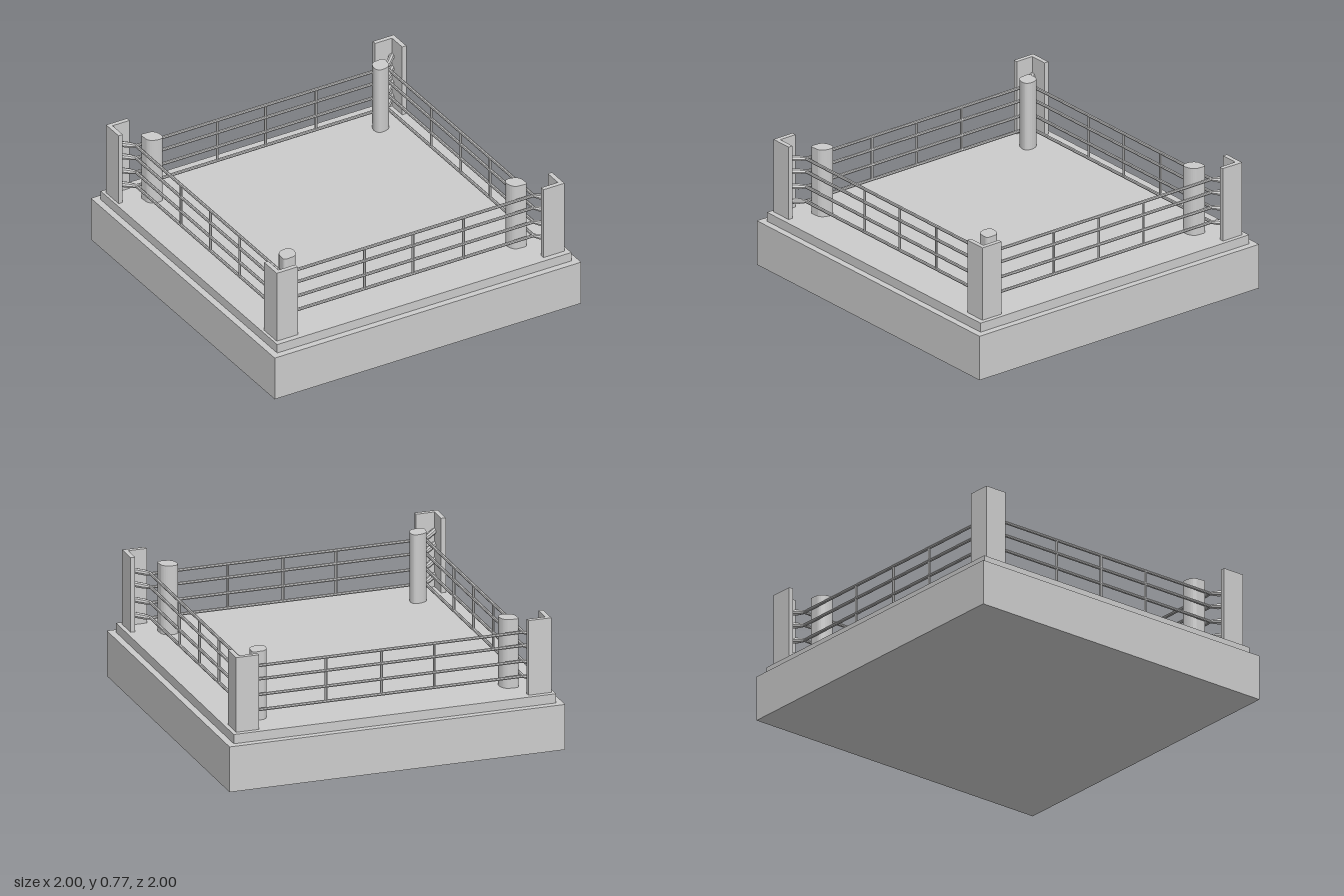
import * as THREE from 'three';

const material = new THREE.MeshStandardMaterial({ color: 0xcccccc });
const flat = new THREE.MeshStandardMaterial({ color: 0xcccccc, flatShading: true });
const DECK = 0.325;
const ROPE_HEIGHTS = [0.395, 0.485, 0.578, 0.658];
const LEFT = 0.814, RIGHT = -0.82, FRONT = 0.794, BACK = -0.808;

function add(parent, name, geometry, mat = material) {
  const mesh = new THREE.Mesh(geometry, mat);
  mesh.name = name;
  parent.add(mesh);
  return mesh;
}

function box(parent, name, w, h, d, x, y, z) {
  add(parent, name, new THREE.BoxGeometry(w, h, d)).position.set(x, y, z);
}

// Straight rod between two points, optionally tapered
function rod(parent, name, a, b, r0, r1 = r0, sides = 8) {
  const dir = b.clone().sub(a);
  const mesh = add(parent, name, new THREE.CylinderGeometry(r1, r0, dir.length(), sides), flat);
  mesh.position.copy(a).add(b).multiplyScalar(0.5);
  mesh.quaternion.setFromUnitVectors(new THREE.Vector3(0, 1, 0), dir.normalize());
}

// Upright prism from an outline drawn in (x, z); extrusion runs from y0 to y1
function prism(parent, name, shape, y0, y1) {
  const g = new THREE.ExtrudeGeometry(shape, { depth: y1 - y0, bevelEnabled: false, curveSegments: 6 });
  g.rotateX(-Math.PI / 2);
  add(parent, name, g).position.y = y0;
}

// L-shaped corner guard with its outer corner at (x, z), opening to the centre
function cornerGuard(parent, x, z, sx, sz) {
  const size = 0.137, t = 0.027;
  const p = (u, v) => new THREE.Vector2(x - sx * u, -(z - sz * v));
  prism(parent, 'cornerGuard', new THREE.Shape([
    p(0, 0), p(size, 0), p(size, t), p(t, t), p(t, size), p(0, size),
  ]), DECK, 0.77);
}

// Padded post: snug at the outer corner, well rounded towards the centre
function cornerPad(parent, x, z, sx, sz) {
  const p = (u, v) => [x + sx * u, -(z + sz * v)];
  const s = new THREE.Shape();
  s.moveTo(...p(0.03, 0.05));
  s.quadraticCurveTo(...p(0.05, 0.05), ...p(0.05, 0.03));
  s.lineTo(...p(0.046, -0.015));
  s.quadraticCurveTo(...p(0.035, -0.045), ...p(-0.01, -0.05));
  s.quadraticCurveTo(...p(-0.05, -0.055), ...p(-0.05, -0.01));
  s.quadraticCurveTo(...p(-0.045, 0.035), ...p(-0.015, 0.046));
  s.closePath();
  prism(parent, 'cornerPad', s, DECK, 0.735);
}

// One side of the ring: four ropes joined by three upright ties
function ropeSide(parent, name, a, b, ties) {
  const side = new THREE.Group();
  side.name = name;
  const at = (t, y) => new THREE.Vector3(a[0] + (b[0] - a[0]) * t, y, a[1] + (b[1] - a[1]) * t);
  for (const y of ROPE_HEIGHTS) rod(side, 'rope', at(0, y), at(1, y), 0.0095);
  for (const t of ties) rod(side, 'ropeTie', at(t, ROPE_HEIGHTS[0]), at(t, ROPE_HEIGHTS[3]), 0.008, 0.008, 6);
  parent.add(side);
}

export function createModel() {
  const ring = new THREE.Group();
  ring.name = 'boxingRing';

  // Stepped platform
  box(ring, 'base', 2, 0.27, 2, 0, 0.135, 0);
  box(ring, 'deck', 1.92, DECK - 0.27, 1.92, 0, (DECK + 0.27) / 2, 0);

  // Corners: guard, pad and the turnbuckles that hold the ropes
  for (const sx of [-1, 1]) for (const sz of [-1, 1]) {
    const corner = new THREE.Group();
    corner.name = (sz > 0 ? 'front' : 'back') + (sx > 0 ? 'Left' : 'Right') + 'Corner';
    const gx = sx > 0 ? 0.935 : -0.943, gz = sz > 0 ? 0.927 : -0.93;
    cornerGuard(corner, gx, gz, sx, sz);
    cornerPad(corner, sx > 0 ? 0.736 : -0.753, sz > 0 ? 0.725 : -0.742, sx, sz);
    const rx = sx > 0 ? LEFT : RIGHT, rz = sz > 0 ? FRONT : BACK;
    for (const y of ROPE_HEIGHTS) {
      const outer = new THREE.Vector3(gx - sx * 0.025, y, gz - sz * 0.025);
      const inner = new THREE.Vector3(rx - sx * 0.004, y, rz - sz * 0.004);
      const neck = inner.clone().lerp(outer, 0.3);
      rod(corner, 'turnbuckle', outer, neck, 0.017);
      rod(corner, 'turnbuckleNeck', neck, inner, 0.017, 0.01);
    }
    ring.add(corner);
  }

  // Ropes
  const xTies = [-0.29, 0.025, 0.355].map((x) => (x - RIGHT) / (LEFT - RIGHT));
  const zTies = [-0.32, 0, 0.32].map((z) => (z - BACK) / (FRONT - BACK));
  ropeSide(ring, 'frontRopes', [RIGHT, FRONT], [LEFT, FRONT], xTies);
  ropeSide(ring, 'backRopes', [RIGHT, BACK], [LEFT, BACK], xTies);
  ropeSide(ring, 'leftRopes', [LEFT, BACK], [LEFT, FRONT], zTies);
  ropeSide(ring, 'rightRopes', [RIGHT, BACK], [RIGHT, FRONT], zTies);

  return ring;
}
